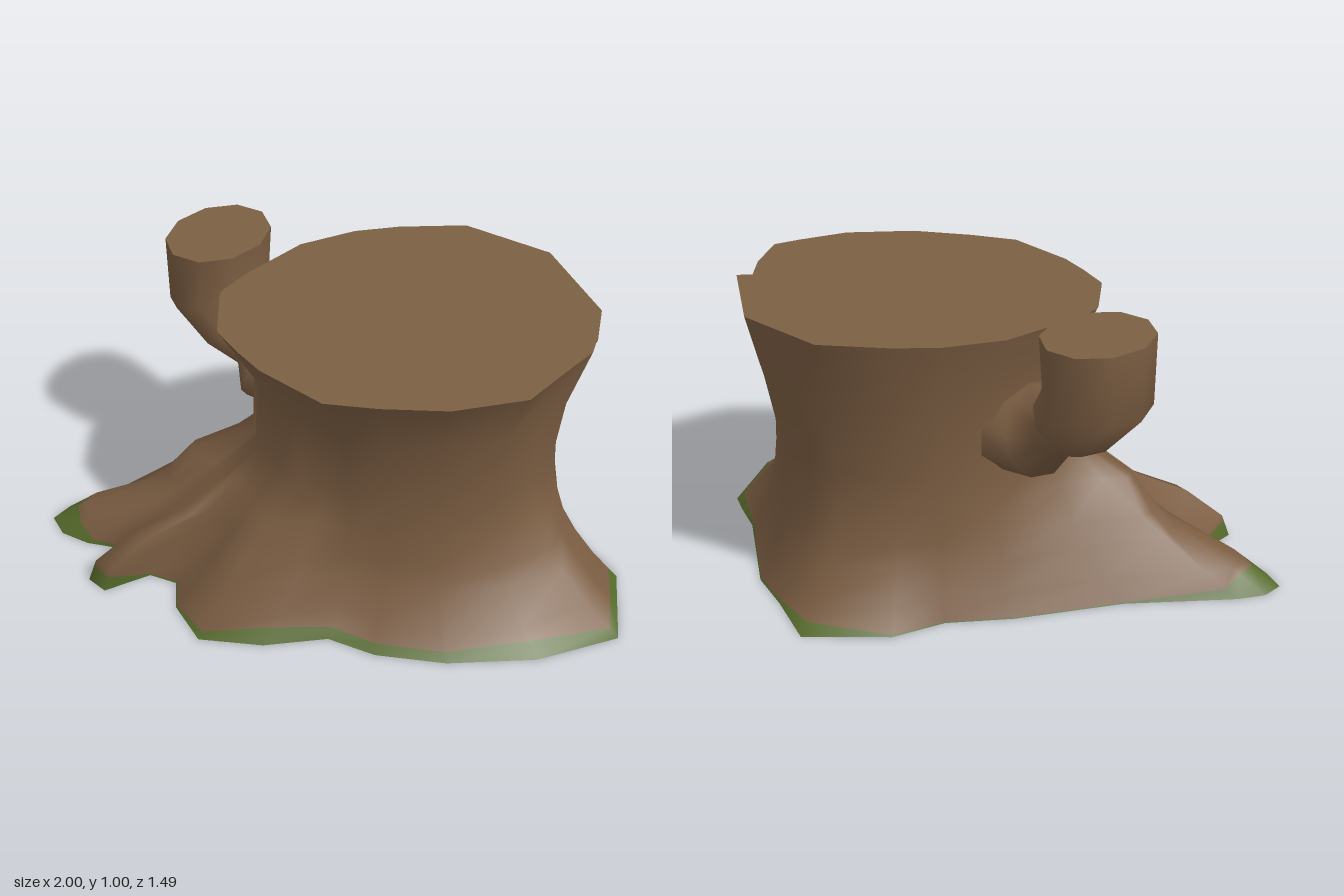
import * as THREE from 'three';

const bark = new THREE.MeshStandardMaterial({ color: 0x7b5d42, side: THREE.DoubleSide });
bark.name = 'bark';
const moss = new THREE.MeshStandardMaterial({ color: 0x566a2b, side: THREE.DoubleSide });
moss.name = 'moss';
const cutWood = new THREE.MeshStandardMaterial({ color: 0x7b6044, side: THREE.DoubleSide });
cutWood.name = 'cutWood';

const CX = 0.16, CZ = -0.03;

// Rim of the cut face (x, z)
const rim = [[0.77, -0.08], [0.69, 0.24], [0.47, 0.43], [0.17, 0.54], [-0.11, 0.48], [-0.31, 0.37],
  [-0.43, 0.17], [-0.4, -0.16], [-0.22, -0.42], [0.05, -0.61], [0.4, -0.58], [0.69, -0.33]];

// Heights of the rings between the waist and the ground
const levels = [0.48, 0.36, 0.25, 0.18, 0.08];

// Share of the way from waist to foot at each level, for the two separate roots
const longRoot = [0, 0.3, 0.43, 0.52, 0.84];
const shortRoot = [0, 0.22, 0.45, 0.74, 0.95];

// Foot outline: x, z, flare (a power, low = bulging, or one of the roots), moss height
const foot = [
  [1, 0.06, 1.9, 0.025], [0.81, 0.28, 2.2, 0.045], [0.56, 0.44, 3, 0.025], [0.34, 0.52, 3.5, 0.025],
  [0.17, 0.53, 4, 0.03], [0, 0.66, 1.5, 0.05], [-0.2, 0.74, 0.8, 0.025], [-0.35, 0.65, 1, 0.005],
  [-0.42, 0.55, 1.1, 0.005], [-0.52, 0.56, 1.05, 0.005], [-0.61, 0.7, shortRoot, 0.055],
  [-0.69, 0.68, shortRoot, 0.06], [-0.67, 0.49, 0.95, 0.008], [-0.81, 0.53, 1.1, 0.015],
  [-0.92, 0.53, longRoot, 0.05], [-1, 0.48, longRoot, 0.065], [-0.99, 0.4, longRoot, 0.065],
  [-0.93, 0.32, 1.1, 0.03], [-0.65, 0.06, 1.4, 0.003], [-0.42, -0.24, 1.9, 0.003],
  [-0.26, -0.4, 2.5, 0.003], [-0.18, -0.57, 2.3, 0.005], [0.05, -0.75, 2.5, 0.035], [0.24, -0.65, 2.8, 0.01],
  [0.4, -0.58, 3, 0.005], [0.69, -0.33, 2.8, 0.008], [0.8, -0.27, 2.5, 0.025], [0.88, -0.22, 2.1, 0.03],
  [0.94, -0.08, 2, 0.025],
];

// Rim heights around the split, by column
const rimHeights = { 0: 0.975, 26: 0.91, 27: 0.955, 28: 0.98 };

// Distance from the centre to the rim along an angle
function rimRadius(a) {
  const dx = Math.cos(a), dz = Math.sin(a);
  let best = 0;
  rim.forEach(([x, z], i) => {
    const [x2, z2] = rim[(i + 1) % rim.length];
    const ex = x2 - x, ez = z2 - z, det = dx * ez - dz * ex;
    const px = x - CX, pz = z - CZ;
    const r = (px * ez - pz * ex) / det, s = (px * dz - pz * dx) / det;
    if (r > 0 && s >= -1e-6 && s <= 1 + 1e-6) best = Math.max(best, r);
  });
  return best;
}

// One vertical profile of the trunk, from the rim down to the ground
function makeColumn([bx, bz, flare, mossY], angle, index) {
  const r = rimRadius(angle), c = Math.cos(angle), s = Math.sin(angle);
  const front = Math.max(0, s), back = Math.max(0, -s), right = Math.max(0, -c);
  const at = (k, y) => [CX + c * r * k, y, CZ + s * r * k];
  const [wx, , wz] = at(0.82 - 0.09 * front + 0.07 * right, levels[0]);
  const toward = (t, y) => [wx + (bx - wx) * t, y, wz + (bz - wz) * t];
  const shares = Array.isArray(flare) ? flare : levels.map((y) => Math.pow(1 - y / levels[0], flare));
  const mossShare = 1 - (1 - shares[4]) * mossY / levels[4];
  return [at(1, rimHeights[index] ?? 0.96), at(0.87 - 0.11 * front + 0.04 * back, 0.74),
    ...levels.map((y, i) => toward(shares[i], y)), toward(mossShare, mossY), toward(1, 0)];
}

// Indexed surface through a list of closed rings, running downward
function loft(rings) {
  const n = rings[0].length, index = [];
  for (let j = 0; j < rings.length - 1; j++) {
    for (let i = 0; i < n; i++) {
      const k = (i + 1) % n, hi = j * n, lo = hi + n;
      index.push(lo + i, hi + i, lo + k, hi + i, hi + k, lo + k);
    }
  }
  const g = new THREE.BufferGeometry();
  g.setAttribute('position', new THREE.Float32BufferAttribute(rings.flat(2), 3));
  g.setIndex(index);
  g.computeVertexNormals();
  return g;
}

// Fan closing a ring from a chosen point, shaded as one level face
function fan(ring, hub) {
  const pos = [], normals = [];
  ring.forEach((p, i) => {
    pos.push(...hub, ...ring[(i + 1) % ring.length], ...p);
    normals.push(0, 1, 0, 0, 1, 0, 0, 1, 0);
  });
  const g = new THREE.BufferGeometry();
  g.setAttribute('position', new THREE.Float32BufferAttribute(pos, 3));
  g.setAttribute('normal', new THREE.Float32BufferAttribute(normals, 3));
  return g;
}

function add(group, name, geometry, material) {
  const mesh = new THREE.Mesh(geometry, material);
  mesh.name = name;
  group.add(mesh);
}

export function createModel() {
  const model = new THREE.Group();
  model.name = 'treeStump';

  // Trunk with flared roots; the lowest strip is moss
  let last = 0;
  const columns = foot.map((f, i) => {
    let a = Math.atan2(f[1] - CZ, f[0] - CX);
    if (a < 0) a += Math.PI * 2;
    last = Math.max(a, last + 0.025);
    return makeColumn(f, last, i);
  });
  const rings = columns[0].map((_, j) => columns.map((c) => c[j]));
  const trunk = loft(rings);
  const mossCount = foot.length * 6, barkCount = trunk.index.count - mossCount;
  trunk.addGroup(0, barkCount, 0);
  trunk.addGroup(barkCount, mossCount, 1);
  add(model, 'trunkAndRoots', trunk, [bark, moss]);

  // Cut face, with its fan meeting at the inner end of the split
  add(model, 'cutFace', fan(rings[0], [0.44, 0.96, -0.09]), cutWood);

  // Bent branch stub: outer x, outer y, inner x, inner y, half depth, z
  const sections = [
    [-0.77, 1, -0.44, 1, 0.205, -0.09], [-0.77, 0.76, -0.455, 0.84, 0.2, -0.09],
    [-0.64, 0.615, -0.41, 0.755, 0.165, -0.08], [-0.485, 0.55, -0.39, 0.75, 0.125, -0.06],
    [-0.43, 0.46, -0.33, 0.75, 0.19, -0.05], [-0.24, 0.45, -0.22, 0.72, 0.19, -0.05],
  ];
  const SIDES = 10;
  const branchRings = sections.map(([ox, oy, ix, iy, depth, z]) =>
    Array.from({ length: SIDES }, (_, i) => {
      const a = (i / SIDES) * Math.PI * 2, c = Math.cos(a) / 2;
      return [(ox + ix) / 2 + (ix - ox) * c, (oy + iy) / 2 + (iy - oy) * c, z + depth * Math.sin(a)];
    }));
  const branch = new THREE.Group();
  branch.name = 'branch';
  add(branch, 'branchStub', loft(branchRings), bark);
  add(branch, 'branchCutFace', fan(branchRings[0], [-0.605, 1, -0.09]), cutWood);
  model.add(branch);

  return model;
}
